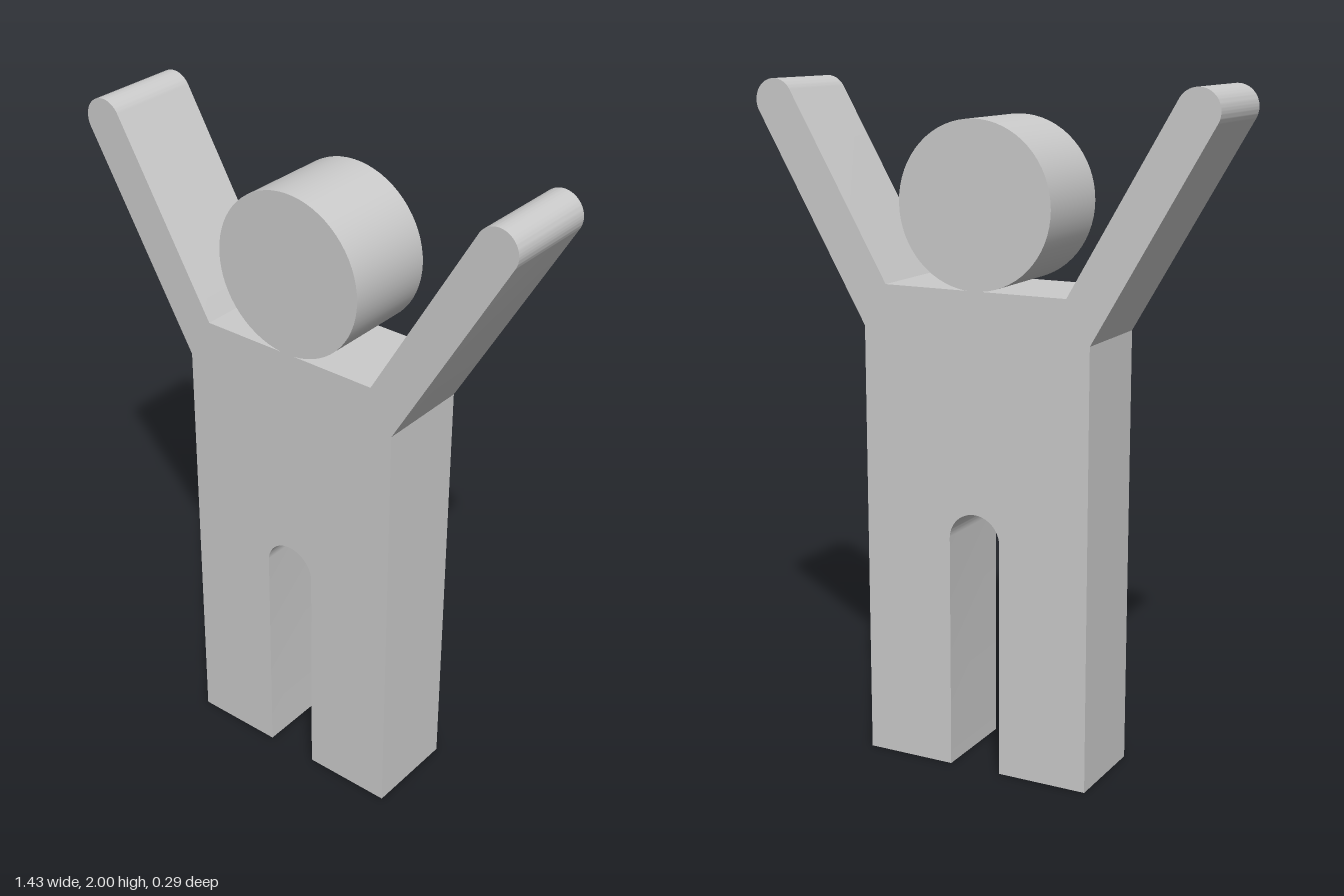
import * as THREE from 'three';
import { toCreasedNormals } from 'three/addons/utils/BufferGeometryUtils.js';

const DEPTH = 0.286;

export function createModel() {
  const group = new THREE.Group();
  group.name = 'cheeringFigure';
  const material = new THREE.MeshStandardMaterial({ color: 0xcccccc });

  // Body, legs and raised arms as one flat outline, counter-clockwise
  const halfWidth = 0.357, gap = 0.081, archY = 0.702;
  const shoulderY = 1.305, neckX = 0.285, neckY = 1.43;
  const handX = 0.651, handY = 1.938, handR = 0.062;
  const deg = Math.PI / 180;

  const outline = new THREE.Shape();
  outline.moveTo(-halfWidth, 0);
  outline.lineTo(-gap, 0);
  outline.absarc(0, archY, gap, Math.PI, 0, true); // arch between the legs
  outline.lineTo(gap, 0);
  outline.lineTo(halfWidth, 0);
  outline.lineTo(halfWidth, shoulderY);
  outline.absarc(handX, handY, handR, -30 * deg, 150 * deg, false); // left hand
  outline.lineTo(neckX, neckY);
  outline.lineTo(-neckX, neckY);
  outline.absarc(-handX, handY, handR, 30 * deg, 210 * deg, false); // right hand
  outline.lineTo(-halfWidth, shoulderY);
  outline.closePath();

  const bodyGeometry = new THREE.ExtrudeGeometry(outline, {
    depth: DEPTH, bevelEnabled: false, curveSegments: 24,
  });
  bodyGeometry.translate(0, 0, -DEPTH / 2);
  const body = new THREE.Mesh(toCreasedNormals(bodyGeometry, 25 * deg), material);
  body.name = 'bodyWithArmsAndLegs';
  group.add(body);

  // Head: a thick disc resting on the shoulders
  const headGeometry = new THREE.CylinderGeometry(0.237, 0.237, DEPTH, 64);
  headGeometry.rotateX(Math.PI / 2);
  const head = new THREE.Mesh(headGeometry, material);
  head.name = 'head';
  head.position.y = 1.666;
  group.add(head);

  return group;
}
